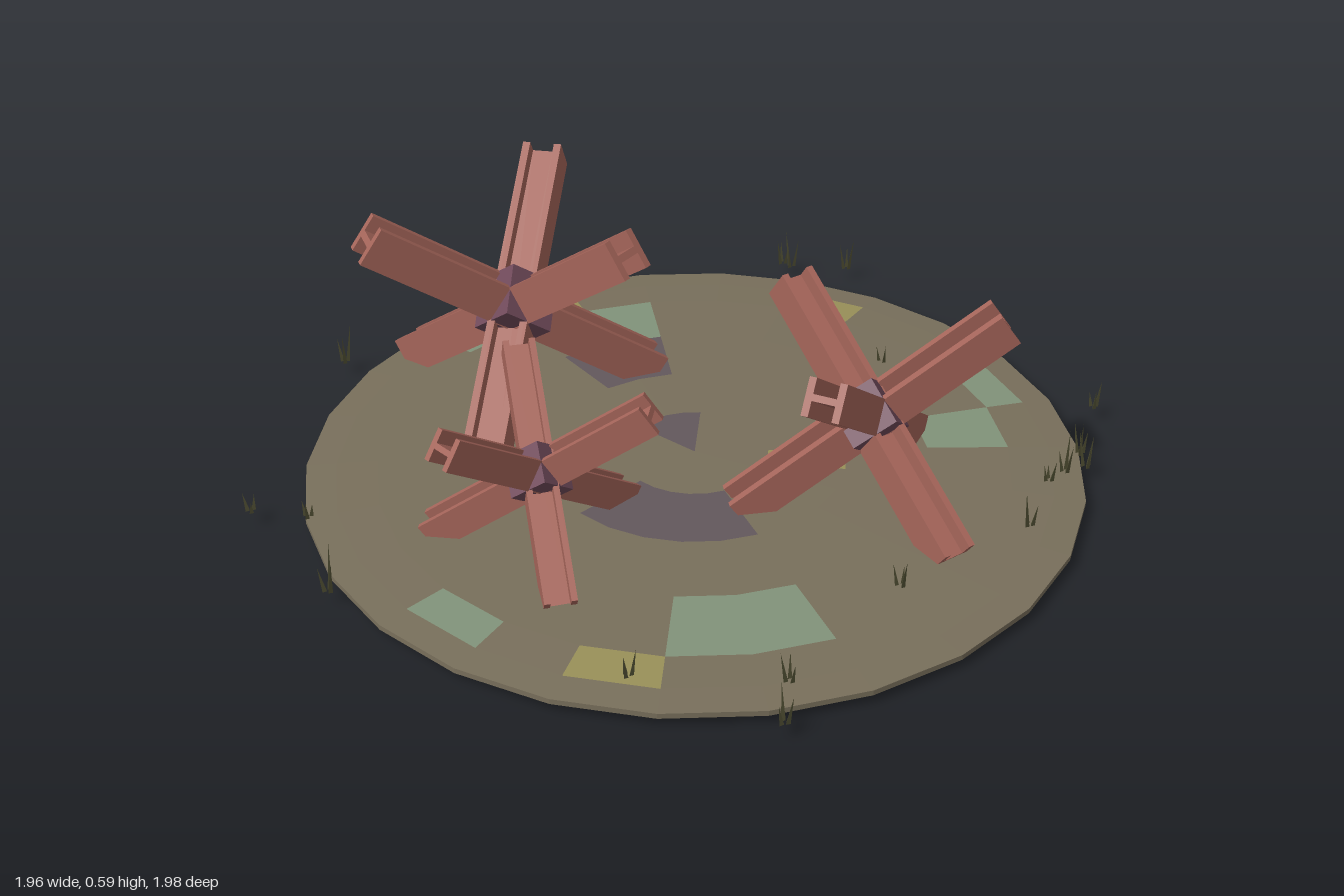
import * as THREE from 'three';

const mat = (name, color, side = THREE.FrontSide) => {
  const m = new THREE.MeshStandardMaterial({ color, side, flatShading: true });
  m.name = name;
  return m;
};

// I-beam section: two upright flanges joined by a web, centred on its length
function beamGeometry(width, half) {
  const w = width / 2, f = w * 0.62, t = width * 0.09;
  const s = new THREE.Shape([
    [-w, -w], [-f, -w], [-f, -t], [f, -t], [f, -w], [w, -w],
    [w, w], [f, w], [f, t], [-f, t], [-f, w], [-w, w],
  ].map(([x, y]) => new THREE.Vector2(x, y)));
  return new THREE.ExtrudeGeometry(s, { depth: half * 2, bevelEnabled: false }).translate(0, 0, -half);
}

// Three crossed beams, each with its lower end at the given compass angle
function makeObstacle(name, [x, y, z], half, width, angles, steel, joint) {
  const g = new THREE.Group();
  g.name = name;
  g.position.set(x, y, z);
  const geo = beamGeometry(width, half);
  const drop = Math.asin(1 / Math.sqrt(3));
  angles.forEach((deg, i) => {
    const a = THREE.MathUtils.degToRad(deg);
    const along = new THREE.Vector3(Math.cos(a) * Math.cos(drop), -Math.sin(drop), Math.sin(a) * Math.cos(drop));
    const across = new THREE.Vector3(0, 1, 0).cross(along).normalize();
    const up = along.clone().cross(across);
    const basis = new THREE.Matrix4().makeBasis(across, up, along);
    const beam = new THREE.Mesh(geo, steel);
    beam.name = 'crossBeam';
    beam.quaternion.setFromRotationMatrix(basis);
    g.add(beam);
    if (i === 0) {
      // joint block lined up with the three beam axes
      const block = new THREE.Mesh(new THREE.BoxGeometry(width * 1.35, width * 1.35, width * 1.35), joint);
      block.name = 'jointBlock';
      block.quaternion.copy(beam.quaternion);
      block.rotateZ(Math.PI / 4);
      g.add(block);
    }
  });
  return g;
}

// Low domed disc made of ring cells, some of them in patch colours
function makeGround(mats) {
  const g = new THREE.Group();
  g.name = 'ground';
  g.position.set(0.037, 0, 0.043);
  const n = 26;
  const profile = [[0, 0.052], [0.18, 0.051], [0.37, 0.05], [0.57, 0.048], [0.77, 0.044],
    [0.87, 0.041], [0.943, 0.037], [0.943, 0.024], [0, 0.024]];
  // ring: segment numbers
  const patches = {
    mossPatch: { 3: [2, 3, 15, 22], 4: [6, 13, 21] },
    dryPatch: { 1: [23], 4: [4, 14, 18] },
    mudPatch: { 0: [13, 14, 15, 16], 1: [2, 3, 4, 5, 6], 2: [14, 15] },
  };
  const corners = { soil: [], mossPatch: [], dryPatch: [], mudPatch: [] };
  const point = (i, k) => {
    const a = (k / n) * Math.PI * 2, [r, y] = profile[i];
    return [r * Math.cos(a), y, r * Math.sin(a)];
  };
  for (let i = 0; i < profile.length - 1; i++) {
    for (let k = 0; k < n; k++) {
      const key = Object.keys(patches).find((p) => patches[p][i]?.includes(k)) ?? 'soil';
      const a = point(i, k), b = point(i, k + 1), c = point(i + 1, k + 1), d = point(i + 1, k);
      if (profile[i + 1][0] > 0) corners[key].push(...a, ...c, ...d);
      if (profile[i][0] > 0) corners[key].push(...a, ...b, ...c);
    }
  }
  for (const key of Object.keys(corners)) {
    const geo = new THREE.BufferGeometry();
    geo.setAttribute('position', new THREE.Float32BufferAttribute(corners[key], 3));
    geo.computeVertexNormals();
    const mesh = new THREE.Mesh(geo, mats[key]);
    mesh.name = key;
    g.add(mesh);
  }
  return g;
}

// Tuft of three leaning blades
function makeTuft(x, z, height, turn, material) {
  const g = new THREE.Group();
  g.name = 'grassTuft';
  g.position.set(x, 0.04, z);
  for (let i = 0; i < 3; i++) {
    const h = height * (1 - i * 0.2);
    const blade = new THREE.Mesh(new THREE.ConeGeometry(0.006, h, 3).translate(0, h / 2, 0), material);
    blade.name = 'grassBlade';
    const a = turn + i * 2.1;
    blade.position.set(Math.cos(a) * 0.008, 0, Math.sin(a) * 0.008);
    blade.rotation.set(Math.sin(a) * 0.16, 0, -Math.cos(a) * 0.16);
    g.add(blade);
  }
  return g;
}

export function createModel() {
  const model = new THREE.Group();
  model.name = 'beamObstacles';
  const steel = mat('rustySteel', 0xa5655a);
  const joint = mat('jointSteel', 0x704a5a);
  const grass = mat('darkGrass', 0x4b4a30);

  model.add(makeGround({
    soil: mat('soil', 0x786f5b),
    mossPatch: mat('moss', 0x81937a),
    dryPatch: mat('dryGrass', 0x989058),
    mudPatch: mat('mud', 0x63585c),
  }));

  model.add(makeObstacle('largeObstacle', [-0.495, 0.297, 0.1], 0.44, 0.1, [176.5, 60.5, -60.5], steel, joint));
  model.add(makeObstacle('mediumObstacle', [0.455, 0.262, -0.083], 0.38, 0.087, [16, 130.5, 255], steel, joint));
  model.add(makeObstacle('smallObstacle', [-0.018, 0.221, 0.53], 0.317, 0.074, [-84, 38, 149], steel, joint));

  // x, z, height
  const tufts = [
    [-0.24, -0.98, 0.1], [-0.4, -0.89, 0.08], [-0.37, -0.89, 0.1], [0.68, -0.77, 0.07], [0.14, -0.61, 0.06],
    [-0.76, -0.55, 0.05], [-0.72, -0.54, 0.06], [-0.75, -0.47, 0.05], [0.76, -0.56, 0.1], [0.8, -0.52, 0.1],
    [0.77, -0.47, 0.1], [0.76, -0.41, 0.06], [0.82, -0.22, 0.1], [-0.83, -0.22, 0.05], [-0.96, 0.28, 0.11],
    [0.72, 0.16, 0.08], [0.72, 0.57, 0.08], [0.79, 0.68, 0.09], [0.45, 0.77, 0.07], [-0.5, 0.81, 0.05],
    [-0.62, 0.88, 0.05], [-0.25, 0.97, 0.11],
  ];
  tufts.forEach(([x, z, h], i) => model.add(makeTuft(x, z, h, i * 1.7, grass)));
  return model;
}
